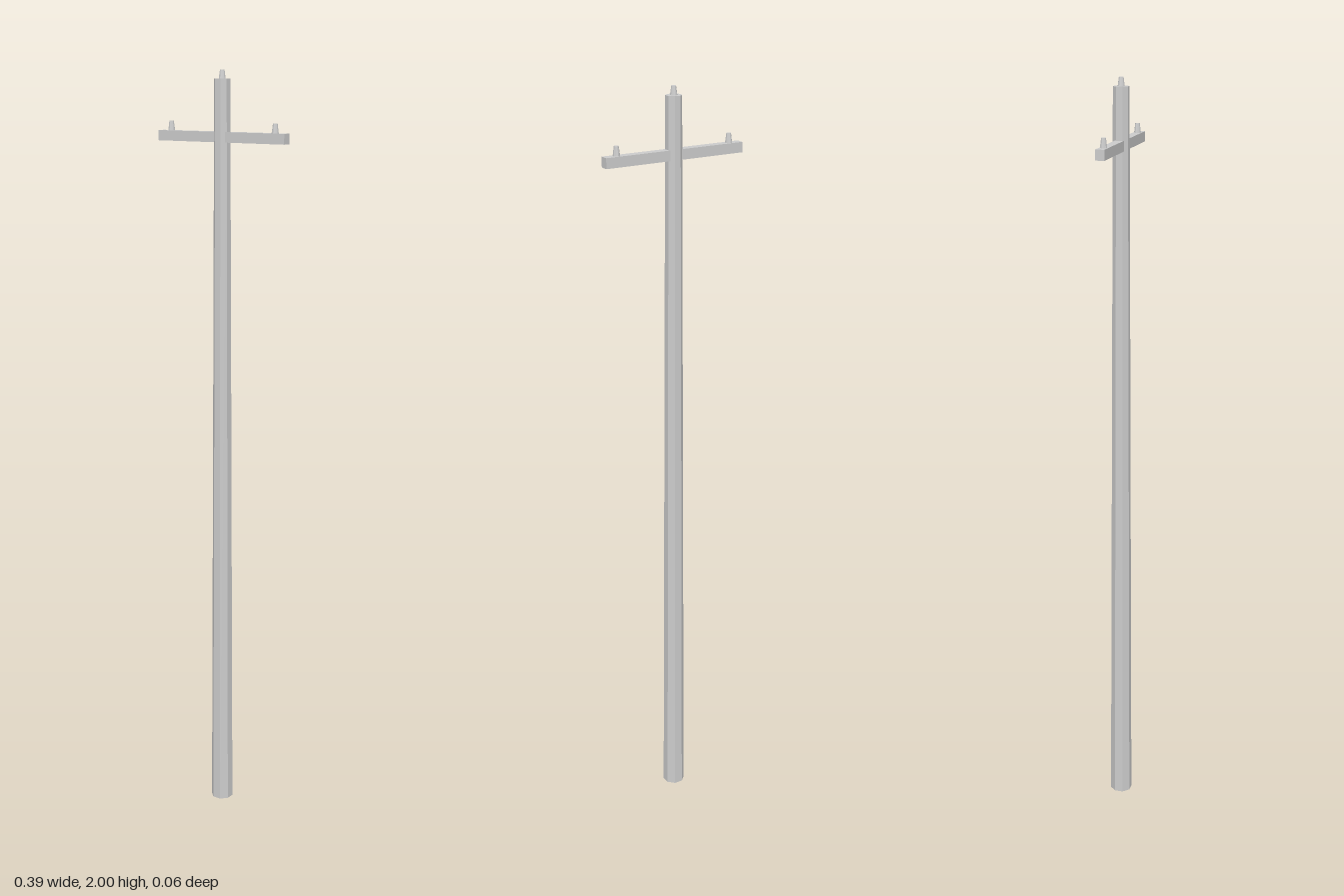
import * as THREE from 'three';

export function createModel() {
  const group = new THREE.Group();
  const material = new THREE.MeshStandardMaterial({ color: 0xcccccc, flatShading: true });

  const add = (name, geometry, x, y) => {
    const mesh = new THREE.Mesh(geometry, material);
    mesh.name = name;
    mesh.position.set(x, y, 0);
    group.add(mesh);
  };

  // Tapered octagonal pole, flats facing the axes
  const poleHeight = 1.978;
  const pole = new THREE.CylinderGeometry(0.0208, 0.0298, poleHeight, 8);
  pole.rotateY(Math.PI / 8);
  add('pole', pole, 0, poleHeight / 2);

  // Crossarm passing through the pole
  add('crossarm', new THREE.BoxGeometry(0.388, 0.026, 0.023), 0, 1.835);

  // Small tapered insulators: one near each arm end, one on the pole top
  const insulator = (name, x, base, height) =>
    add(name, new THREE.CylinderGeometry(0.006, 0.0092, height, 10), x, base + height / 2);
  insulator('leftInsulator', 0.16, 1.848, 0.024);
  insulator('rightInsulator', -0.16, 1.848, 0.024);
  insulator('topInsulator', 0, poleHeight, 2 - poleHeight);

  return group;
}
